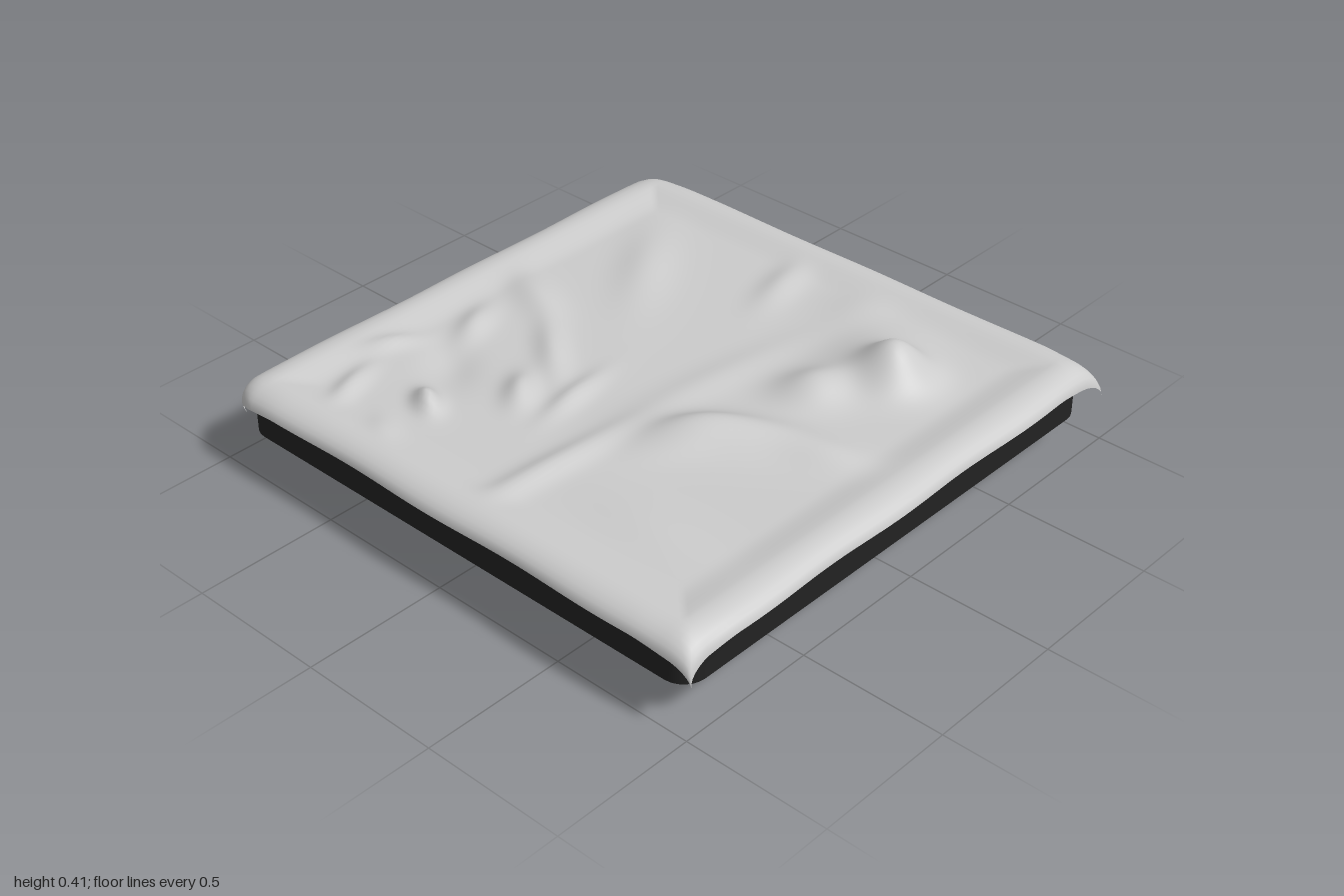
import * as THREE from 'three';
import { toCreasedNormals, mergeVertices } from 'three/addons/utils/BufferGeometryUtils.js';

// Terrain relief: [x, z, height, radius along, radius across, turn in degrees]
const BUMPS = [
  [0.48, 0.54, 0.125, 0.12, 0.11, 0],     // main hill
  [0.52, 0.40, 0.035, 0.20, 0.14, 0],
  [0.25, 0.40, 0.055, 0.12, 0.10, 30],    // its shoulder
  [-0.10, 0.40, 0.055, 0.22, 0.10, 55],   // second hill
  [-0.22, 0.27, 0.035, 0.16, 0.09, 30],
  [0.00, 0.66, 0.025, 0.14, 0.08, 65],
  [-0.62, 0.08, 0.025, 0.36, 0.05, 4],    // long low ridge
  [0.10, 0.12, 0.012, 0.40, 0.07, 8],
  [-0.62, -0.45, 0.05, 0.07, 0.04, -60],  // broken ground at the back
  [-0.38, -0.28, 0.035, 0.10, 0.05, -40],
  [-0.28, -0.14, 0.022, 0.15, 0.04, -10],
  [-0.14, -0.38, 0.025, 0.18, 0.05, -50],
  [0.06, -0.66, 0.025, 0.16, 0.07, -65],
  [-0.20, -0.68, 0.025, 0.11, 0.05, -25],
  [-0.48, -0.80, 0.025, 0.10, 0.04, 25],
  [-0.72, -0.70, 0.022, 0.12, 0.04, -20],
  [-0.84, -0.42, 0.018, 0.10, 0.05, -50],
  [-0.42, -0.56, -0.02, 0.14, 0.08, -50],
  [0.45, -0.52, 0.022, 0.26, 0.09, -35],  // gentle swells on the right
  [0.68, -0.10, 0.022, 0.16, 0.06, -15],
  [0.75, 0.20, 0.015, 0.14, 0.12, 0],
  [-0.62, 0.50, 0.012, 0.10, 0.25, 0],
];

function relief(x, z) {
  let h = 0;
  for (const [cx, cz, height, ra, rb, deg] of BUMPS) {
    const a = THREE.MathUtils.degToRad(deg), dx = x - cx, dz = z - cz;
    const p = (dx * Math.cos(a) + dz * Math.sin(a)) / ra;
    const q = (-dx * Math.sin(a) + dz * Math.cos(a)) / rb;
    h += height * Math.exp(-(p * p + q * q));
  }
  return h;
}

// Sheet laid over the tray: sagging inside the rim, rolling down at the edges
function makeSheet() {
  const n = 110;
  const geo = new THREE.PlaneGeometry(2, 2, n, n).rotateX(-Math.PI / 2);
  const pos = geo.attributes.position;
  const roll = (s) => THREE.MathUtils.clamp((Math.abs(s) - 0.89) / 0.11, 0, 1);
  for (let i = 0; i < pos.count; i++) {
    const u = pos.getX(i), v = pos.getZ(i);
    const tu = roll(u), tv = roll(v), corner = tu * tv;
    const spread = (s, t) => (t > 0 ? Math.sign(s) * (0.89 + 0.095 * Math.sin(t * Math.PI / 2)) : s);
    let x = spread(u, tu), z = spread(v, tv);
    // back corners tuck in, front corners flare out
    const pull = v < 0 ? -0.04 : (u > 0 ? 0.015 : -0.01);
    x += Math.sign(u) * pull * corner;
    z += Math.sign(v) * (v < 0 ? pull : 0.01) * corner;
    // slightly wavy hem
    x += 0.004 * tu * Math.sin(v * 9 + u);
    z += 0.004 * tv * Math.sin(u * 10 + v * 2);
    if (v < 0) z -= 0.012 * tv * THREE.MathUtils.smoothstep(Math.abs(u), 0.75, 0.9);
    const drop = (t) => 0.055 * (1 - Math.cos(t * Math.PI / 2));
    const inside = 1 - THREE.MathUtils.smoothstep(Math.max(Math.abs(u), Math.abs(v)), 0.76, 0.91);
    const nearCorner = THREE.MathUtils.smoothstep(Math.min(Math.abs(u), Math.abs(v)), 0.75, 1);
    const y = 0.297 - 0.024 * inside + relief(x, z) * inside
      - drop(tu) - drop(tv) - 0.022 * nearCorner * Math.max(tu, tv);
    pos.setXYZ(i, x, y, z);
  }
  geo.computeVertexNormals();
  return geo;
}

// Tray: rounded square sections stacked from the flat foot to the top
function makeTray() {
  const sections = [[0, 0], [0.57, 0], [0.75, 0.04], [0.95, 0.115], [0.95, 0.235], [0, 0.235]];
  const seg = 6, radius = 0.085;
  const outline = [];
  for (let c = 0; c < 4; c++) {
    for (let k = 0; k <= seg; k++) {
      const a = (c + k / seg) * Math.PI / 2, mid = (c + 0.5) * Math.PI / 2;
      outline.push([
        Math.sign(Math.cos(mid)) * (1 - radius) + radius * Math.cos(a),
        Math.sign(Math.sin(mid)) * (1 - radius) + radius * Math.sin(a),
      ]);
    }
  }
  const points = [], index = [], m = outline.length;
  for (const [half, y] of sections) for (const [x, z] of outline) points.push(x * half, y, z * half);
  for (let s = 0; s < sections.length - 1; s++) {
    for (let k = 0; k < m; k++) {
      const a = s * m + k, b = s * m + (k + 1) % m, c = a + m, d = b + m;
      if (s > 0) index.push(a, c, b);
      if (s < sections.length - 2) index.push(b, c, d);
      if (s === 0) index.push(b, c, d);
    }
  }
  const geo = new THREE.BufferGeometry();
  geo.setAttribute('position', new THREE.Float32BufferAttribute(points, 3));
  geo.setIndex(index);
  return toCreasedNormals(mergeVertices(geo), 0.3);
}

export function createModel() {
  const model = new THREE.Group();
  model.name = 'terrainTray';

  const tray = new THREE.Mesh(makeTray(), new THREE.MeshStandardMaterial({ color: 0x222222 }));
  tray.name = 'tray';

  const sheet = new THREE.Mesh(makeSheet(),
    new THREE.MeshStandardMaterial({ color: 0xcccccc, side: THREE.DoubleSide }));
  sheet.name = 'terrainSheet';

  model.add(tray, sheet);
  return model;
}
